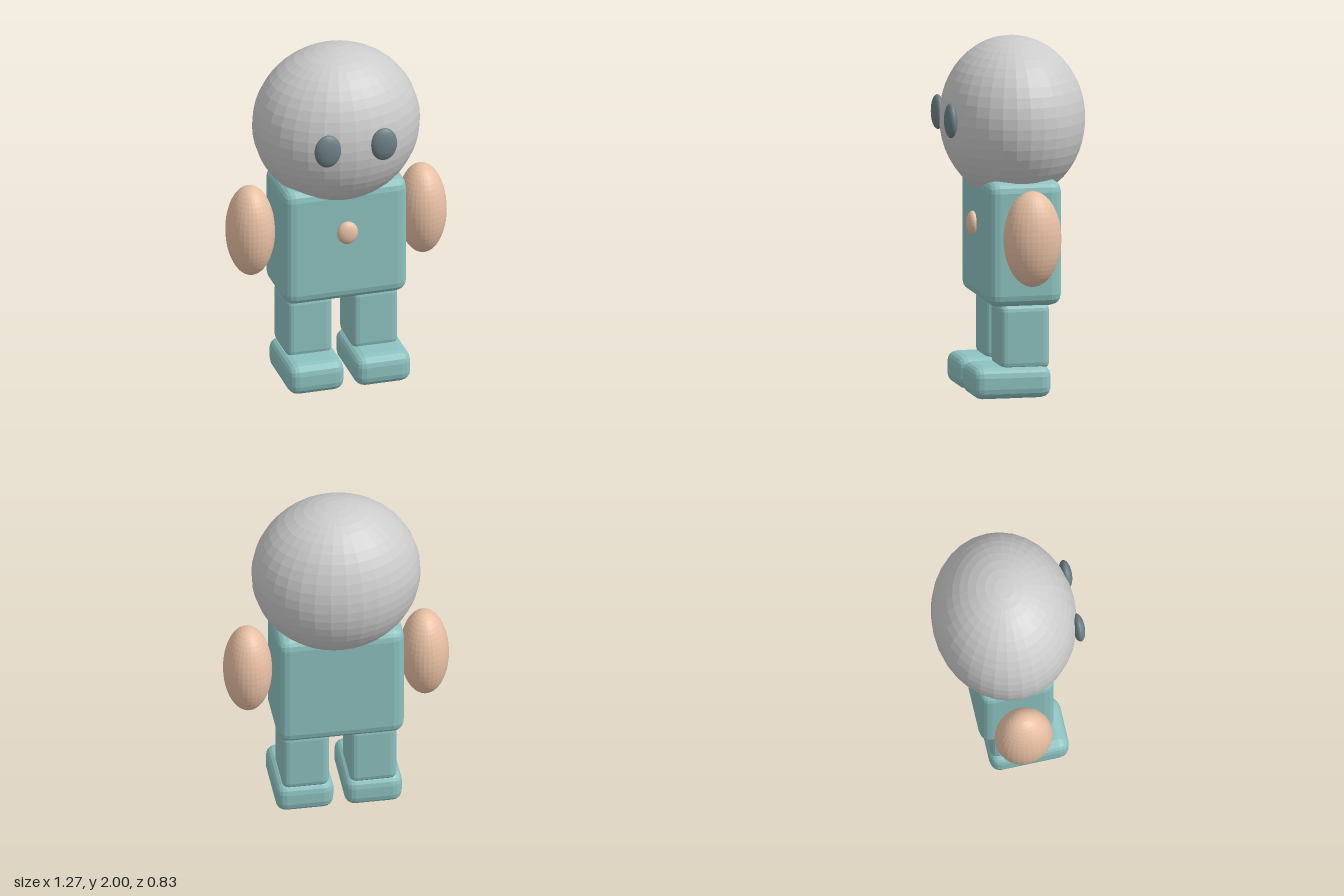
import * as THREE from 'three';
import { RoundedBoxGeometry } from 'three/addons/geometries/RoundedBoxGeometry.js';

const material = (color) => new THREE.MeshStandardMaterial({ color, flatShading: true });

export function createModel() {
  const model = new THREE.Group();
  model.name = 'roundHeadedFigure';
  const grey = material(0xcccccc);
  const teal = material(0x8cc2c0);
  const tan = material(0xe8c0a4);
  const slate = material(0x6c8084);

  const add = (name, geometry, mat, position) => {
    const mesh = new THREE.Mesh(geometry, mat);
    mesh.name = name;
    mesh.position.set(...position);
    model.add(mesh);
  };

  // Ellipsoid from centre and radii
  const ellipsoid = (name, mat, centre, radii) =>
    add(name, new THREE.SphereGeometry(1, 32, 24).scale(...radii), mat, centre);

  // Soft-edged block from its lower and upper corners
  const block = (name, mat, min, max, radius) => {
    const size = max.map((v, i) => v - min[i]);
    const centre = max.map((v, i) => (v + min[i]) / 2);
    add(name, new RoundedBoxGeometry(...size, 2, radius), mat, centre);
  };

  // Head sinks into the top of the body
  ellipsoid('head', grey, [0, 1.54, -0.01], [0.475, 0.46, 0.405]);
  block('body', teal, [-0.36, 0.52, -0.22], [0.36, 1.23, 0.207], 0.065);
  ellipsoid('bellyButton', tan, [0, 0.95, 0.217], [0.06, 0.068, 0.034]);

  // Paired parts
  for (const [side, s] of [['left', 1], ['right', -1]]) {
    ellipsoid(side + 'Eye', slate, [s * 0.163, 1.56, 0.38], [0.077, 0.098, 0.035]);
    ellipsoid(side + 'Arm', tan, [s * 0.5, 0.93, -0.01], [0.137, 0.27, 0.163]);
    const span = (a, b) => (s > 0 ? [a, b] : [-b, -a]);
    const [l0, l1] = span(0.057, 0.325);
    block(side + 'Leg', teal, [l0, 0.16, -0.155], [l1, 0.53, 0.13], 0.04);
    const [f0, f1] = span(0.03, 0.358);
    block(side + 'Foot', teal, [f0, 0, -0.16], [f1, 0.183, 0.292], 0.06);
  }
  return model;
}
